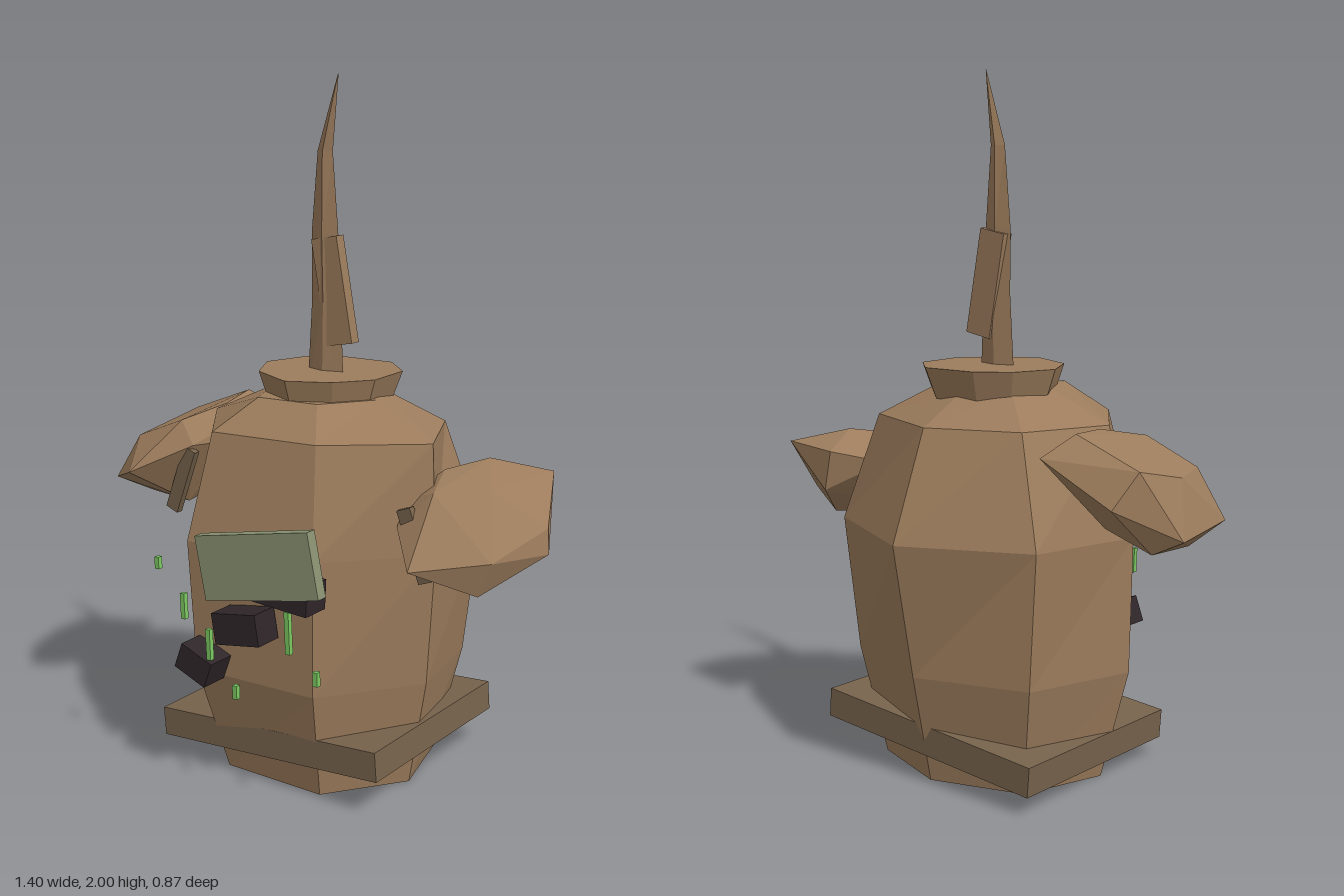
import * as THREE from 'three';
import { ConvexGeometry } from 'three/addons/geometries/ConvexGeometry.js';

const flat = (name, color) => {
  const m = new THREE.MeshStandardMaterial({ color, flatShading: true });
  m.name = name;
  return m;
};

// Closed skin over stacked rings; each ring is [y, [[x, z], ...]] running back, +x, front, -x
function loft(rings) {
  const pos = [];
  const tri = (...pts) => pts.forEach(p => pos.push(...p));
  const R = rings.map(([y, pts]) => pts.map(([x, z]) => [x, y, z]));
  const n = R[0].length;
  const middle = r => [0, 1, 2].map(k => r.reduce((s, p) => s + p[k], 0) / n);
  const low = middle(R[0]), high = middle(R[R.length - 1]);
  for (let j = 0; j < n; j++) {
    const k = (j + 1) % n;
    for (let i = 0; i + 1 < R.length; i++) {
      tri(R[i][j], R[i + 1][j], R[i][k]);
      tri(R[i][k], R[i + 1][j], R[i + 1][k]);
    }
    tri(low, R[0][j], R[0][k]);
    tri(high, R[R.length - 1][k], R[R.length - 1][j]);
  }
  const g = new THREE.BufferGeometry();
  g.setAttribute('position', new THREE.Float32BufferAttribute(pos, 3));
  g.computeVertexNormals();
  return g;
}

export function createModel() {
  const model = new THREE.Group();
  const brown = flat('clay brown', 0x9c7c5c);
  const strap = flat('strap brown', 0x77634c);
  const dark = flat('dark block', 0x2f2629);
  const sage = flat('sage plate', 0x8a9272);
  const slime = flat('bright green', 0x7cc862);

  const add = (name, geometry, material) => {
    const mesh = new THREE.Mesh(geometry, material);
    mesh.name = name;
    model.add(mesh);
    return mesh;
  };
  const box = (name, material, [w, h, d], [x, y, z], tilt = 0) => {
    const mesh = add(name, new THREE.BoxGeometry(w, h, d), material);
    mesh.position.set(x, y, z);
    mesh.rotation.z = tilt;
    return mesh;
  };

  // Seven-sided barrel body
  add('body', loft([
    [0, [[0, -0.29], [0.26, -0.2], [0.33, 0.05], [0.17, 0.27], [-0.16, 0.27], [-0.35, 0.05], [-0.27, -0.2]]],
    [0.32, [[0, -0.36], [0.33, -0.24], [0.39, 0.06], [0.19, 0.33], [-0.21, 0.35], [-0.43, 0.07], [-0.33, -0.25]]],
    [0.71, [[0, -0.435], [0.37, -0.26], [0.42, 0.07], [0.19, 0.33], [-0.22, 0.37], [-0.44, 0.07], [-0.36, -0.26]]],
    [1.02, [[0, -0.31], [0.28, -0.2], [0.4, 0.06], [0.15, 0.26], [-0.18, 0.3], [-0.36, 0.06], [-0.26, -0.2]]],
    [1.11, [[0, -0.14], [0.14, -0.1], [0.19, 0.03], [0.09, 0.17], [-0.1, 0.19], [-0.17, 0.03], [-0.14, -0.1]]],
  ]), brown);

  // Flared collar
  const rim = [[0.09, -0.205], [0.19, -0.11], [0.195, 0.04], [0.12, 0.14], [0, 0.2],
    [-0.145, 0.13], [-0.215, 0], [-0.17, -0.13], [-0.08, -0.195]];
  add('collar', loft([
    [1.08, rim.map(([x, z]) => [x * 0.85, z * 0.85])],
    [1.17, rim],
  ]), brown);

  // Thin curved horn with a side splint
  const diamond = (y, x, w, d) => [y, [[x, -d], [x + w, 0], [x, d], [x - w, 0]]];
  add('horn', loft([
    diamond(1.1, -0.003, 0.064, 0.018),
    diamond(1.37, 0, 0.05, 0.017),
    diamond(1.56, -0.005, 0.046, 0.016),
    diamond(1.79, -0.004, 0.026, 0.014),
    diamond(2.0, 0.04, 0.001, 0.001),
  ]), brown);
  box('hornSplint', brown, [0.088, 0.305, 0.035], [0.027, 1.4, -0.004], 0.18);

  // Faceted shoulder lumps
  const lumps = {
    leftShoulder: [
      [0.39, 0.93, -0.02], [0.465, 0.95, -0.14], [0.42, 0.9, -0.265], [0.61, 0.91, -0.25],
      [0.55, 0.9, 0], [0.33, 0.86, -0.13], [0.32, 0.86, 0.06], [0.31, 0.8, 0.06],
      [0.69, 0.8, -0.07], [0.7, 0.73, -0.06], [0.63, 0.74, 0.13], [0.455, 0.72, 0.27],
      [0.35, 0.8, 0.16], [0.59, 0.64, 0.13], [0.4, 0.665, 0.14], [0.52, 0.69, -0.15],
      [0.45, 0.78, -0.26], [0.44, 0.9, 0.12],
    ],
    rightShoulder: [
      [-0.62, 0.95, -0.16], [-0.42, 1.03, -0.17], [-0.38, 1.02, -0.01], [-0.43, 0.99, 0.14],
      [-0.6, 0.92, 0.14], [-0.645, 0.915, 0], [-0.7, 0.76, -0.07], [-0.68, 0.78, 0.16],
      [-0.53, 0.84, 0.27], [-0.38, 0.92, 0.15], [-0.33, 0.985, -0.04], [-0.33, 0.915, 0],
      [-0.37, 0.97, -0.26], [-0.575, 0.85, -0.22], [-0.635, 0.72, 0.05], [-0.46, 0.72, 0.08],
      [-0.43, 0.755, -0.05], [-0.62, 0.72, -0.1],
    ],
  };
  for (const [name, pts] of Object.entries(lumps)) {
    add(name, new ConvexGeometry(pts.map(p => new THREE.Vector3(...p))), brown);
  }

  // Small pegs through the shoulders
  box('leftPeg', strap, [0.045, 0.21, 0.022], [0.405, 0.755, 0.148], 0.36);
  box('rightPeg', strap, [0.045, 0.21, 0.022], [-0.425, 0.81, 0.148], -0.36);

  // Tilted square strap around the foot
  box('strap', strap, [0.765, 0.086, 0.62], [0, 0.125, -0.007], 0.076);

  // Plate and blocks on the chest
  box('chestPlate', sage, [0.394, 0.184, 0.034], [0.074, 0.706, 0.418], 0.203);
  [[0.153, 0.645, 0.185, 0.085, -0.05], [0, 0.51, 0.155, 0.09, 0.17], [-0.154, 0.37, 0.115, 0.08, -0.36]]
    .forEach(([x, y, w, h, tilt], i) => box(`chestBlock${i + 1}`, dark, [w, h, 0.088], [x, y, 0.39], tilt));

  // Hanging green drips
  [[-0.28, 0.65, 0.035], [-0.187, 0.54, 0.075], [-0.096, 0.445, 0.09],
    [0.18, 0.54, 0.12], [0.273, 0.43, 0.04], [-0.003, 0.325, 0.04]]
    .forEach(([x, y, h], i) => box(`drip${i + 1}`, slime, [0.015, h, 0.015], [x, y, 0.427], 0.04));

  return model;
}
